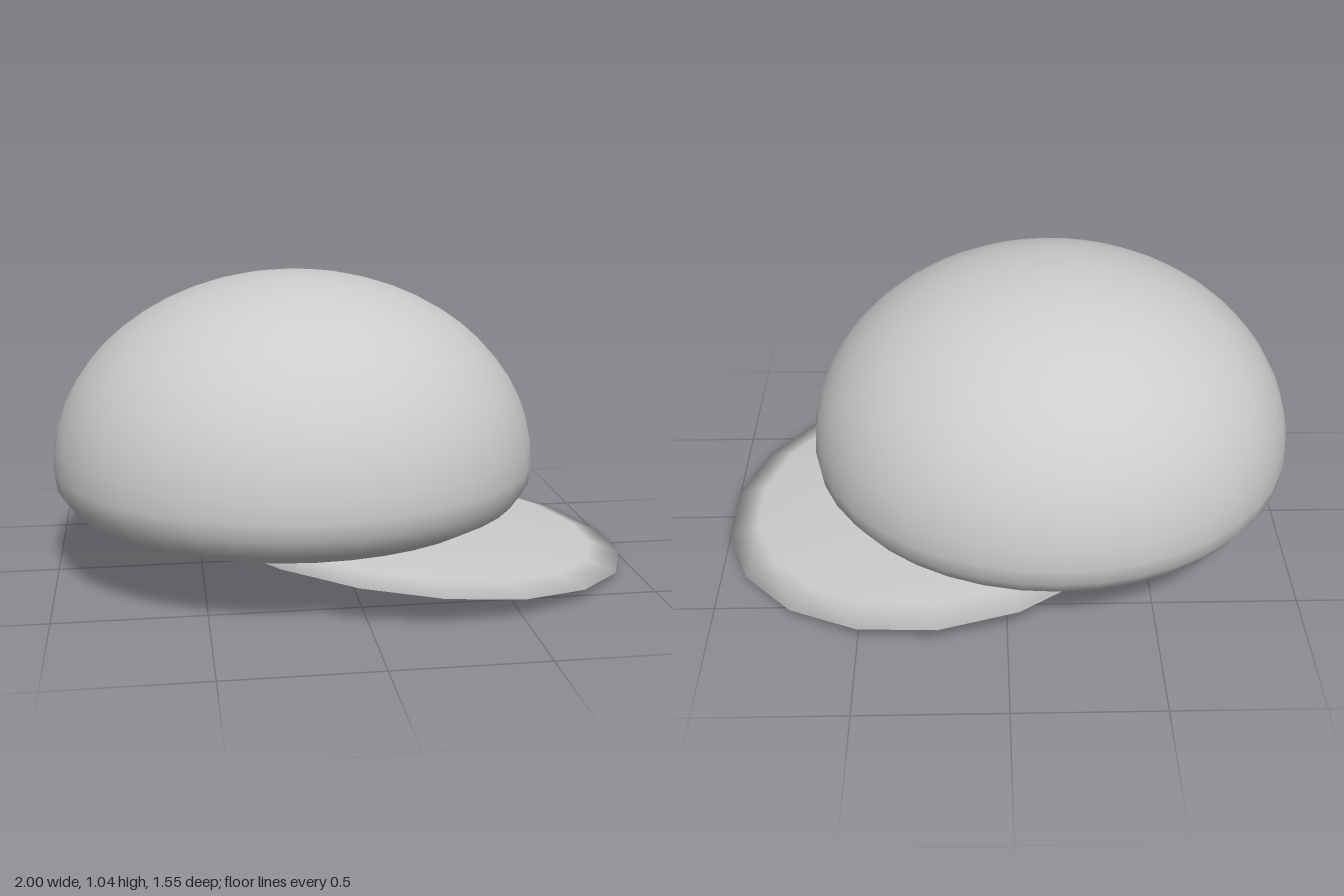
import * as THREE from 'three';

export function createModel() {
  const model = new THREE.Group();
  model.name = 'cap';
  const grey = new THREE.MeshStandardMaterial({ color: 0xcccccc });
  grey.name = 'light grey';

  // Crown: closed dome with a rounded lower lip, slightly wider along x
  const profile = [
    [0, 0.165], [0.35, 0.167], [0.55, 0.176], [0.7, 0.192],
    [0.84, 0.225], [0.94, 0.27], [0.99, 0.33],
  ].map(([r, y]) => new THREE.Vector2(r, y));
  const steps = 14;
  for (let i = 0; i <= steps; i++) {
    const a = (i / steps) * Math.PI / 2;
    profile.push(new THREE.Vector2(i === steps ? 0 : Math.cos(a), 0.39 + 0.657 * Math.sin(a)));
  }
  const crownGeometry = new THREE.LatheGeometry(profile, 40);
  crownGeometry.scale(0.835, 1, 0.777);
  const crown = new THREE.Mesh(crownGeometry, grey);
  crown.name = 'crown';
  crown.position.x = -0.165;
  model.add(crown);

  // Brim: thin faceted lens, sheared so that it slopes down towards +x
  const brimGeometry = new THREE.SphereGeometry(1, 18, 6);
  brimGeometry.rotateY(Math.PI / 18);
  brimGeometry.scale(0.782, 0.05, 0.735);
  brimGeometry.applyMatrix4(new THREE.Matrix4().set(
    1, 0, 0, 0,
    -0.123, 1, 0, 0,
    0, 0, 1, 0,
    0, 0, 0, 1,
  ));
  const brim = new THREE.Mesh(brimGeometry, grey);
  brim.name = 'brim';
  brim.position.set(0.23, 0.115, 0);
  model.add(brim);

  return model;
}
